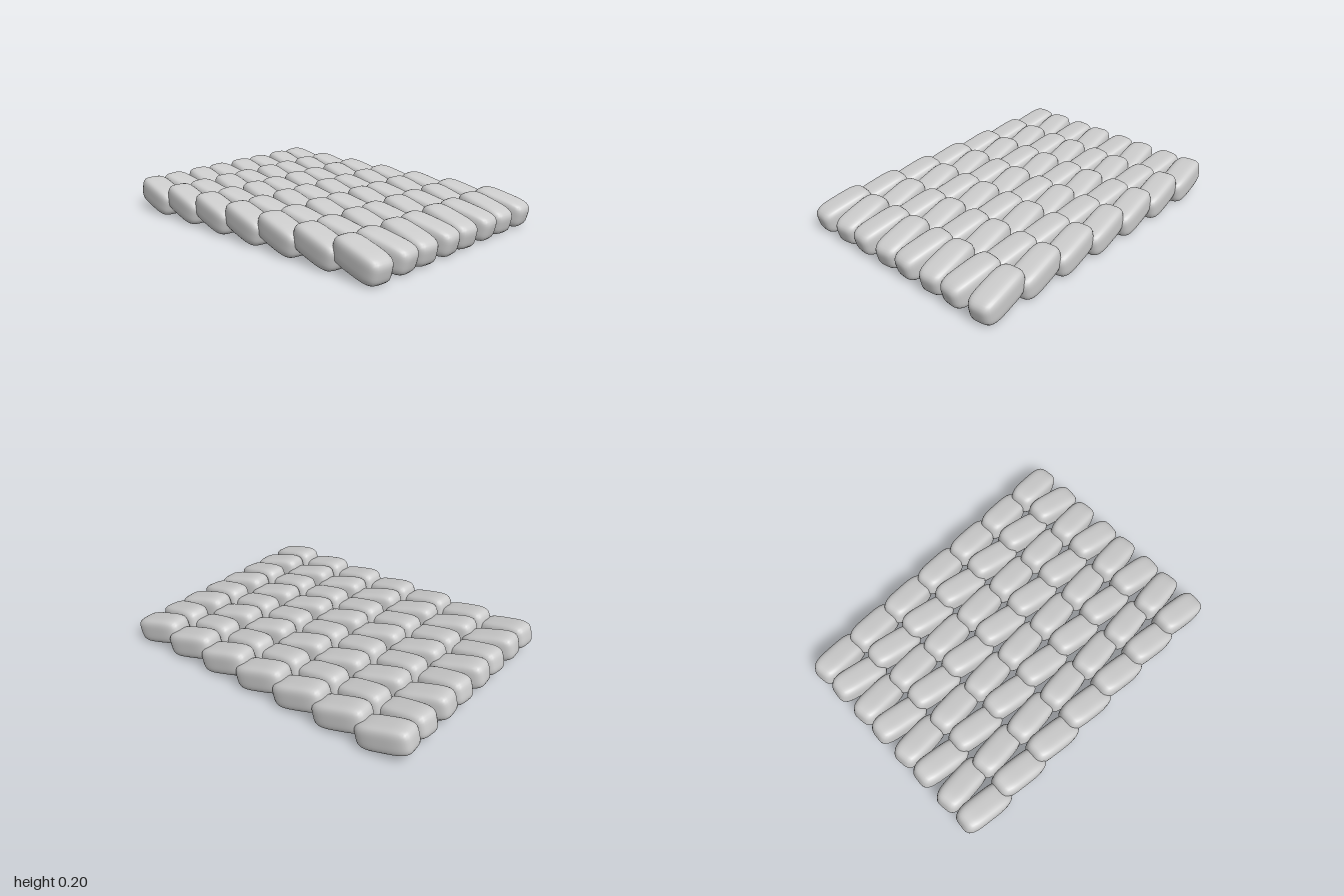
import * as THREE from 'three';
import { mergeVertices } from 'three/addons/utils/BufferGeometryUtils.js';

const ROWS = 7, PAIRS = 4;
const ROW_PITCH = 0.277, PAIR_PITCH = 0.357, STITCH_OFFSET = 0.089;
const LEAN = THREE.MathUtils.degToRad(6), TILT = THREE.MathUtils.degToRad(13.5);

// Soft pillow: a subdivided cube pulled onto a superellipsoid
function pillowGeometry(halfX, halfY, halfZ, power = 4) {
  const box = new THREE.BoxGeometry(2, 2, 2, 10, 10, 10);
  box.deleteAttribute('uv');
  box.deleteAttribute('normal');
  const geometry = mergeVertices(box);
  const pos = geometry.attributes.position;
  const v = new THREE.Vector3();
  for (let i = 0; i < pos.count; i++) {
    v.fromBufferAttribute(pos, i);
    const sum = Math.abs(v.x) ** power + Math.abs(v.y) ** power + Math.abs(v.z) ** power;
    v.multiplyScalar(sum ** (-1 / power));
    pos.setXYZ(i, v.x * halfX, v.y * halfY, v.z * halfZ);
  }
  geometry.computeVertexNormals();
  return geometry;
}

export function createModel() {
  const model = new THREE.Group();
  model.name = 'knittedPatch';
  const material = new THREE.MeshStandardMaterial({ color: 0xcccccc });
  const pillow = pillowGeometry(0.082, 0.079, 0.165);

  // Rows of stitches, each overlapping the next like shingles
  for (let r = 0; r < ROWS; r++) {
    const row = new THREE.Group();
    row.name = `stitchRow${r + 1}`;
    row.position.set(0, 0.1, (r - (ROWS - 1) / 2) * ROW_PITCH);
    for (let p = 0; p < PAIRS; p++) {
      // Two mirrored halves form a V that opens to the front
      for (const side of [-1, 1]) {
        const stitch = new THREE.Mesh(pillow, material);
        stitch.name = side < 0 ? 'rightStitchHalf' : 'leftStitchHalf';
        stitch.position.x = (p - (PAIRS - 1) / 2) * PAIR_PITCH + side * STITCH_OFFSET;
        stitch.rotation.set(TILT, side * LEAN, 0, 'YXZ');
        row.add(stitch);
      }
    }
    model.add(row);
  }
  return model;
}
